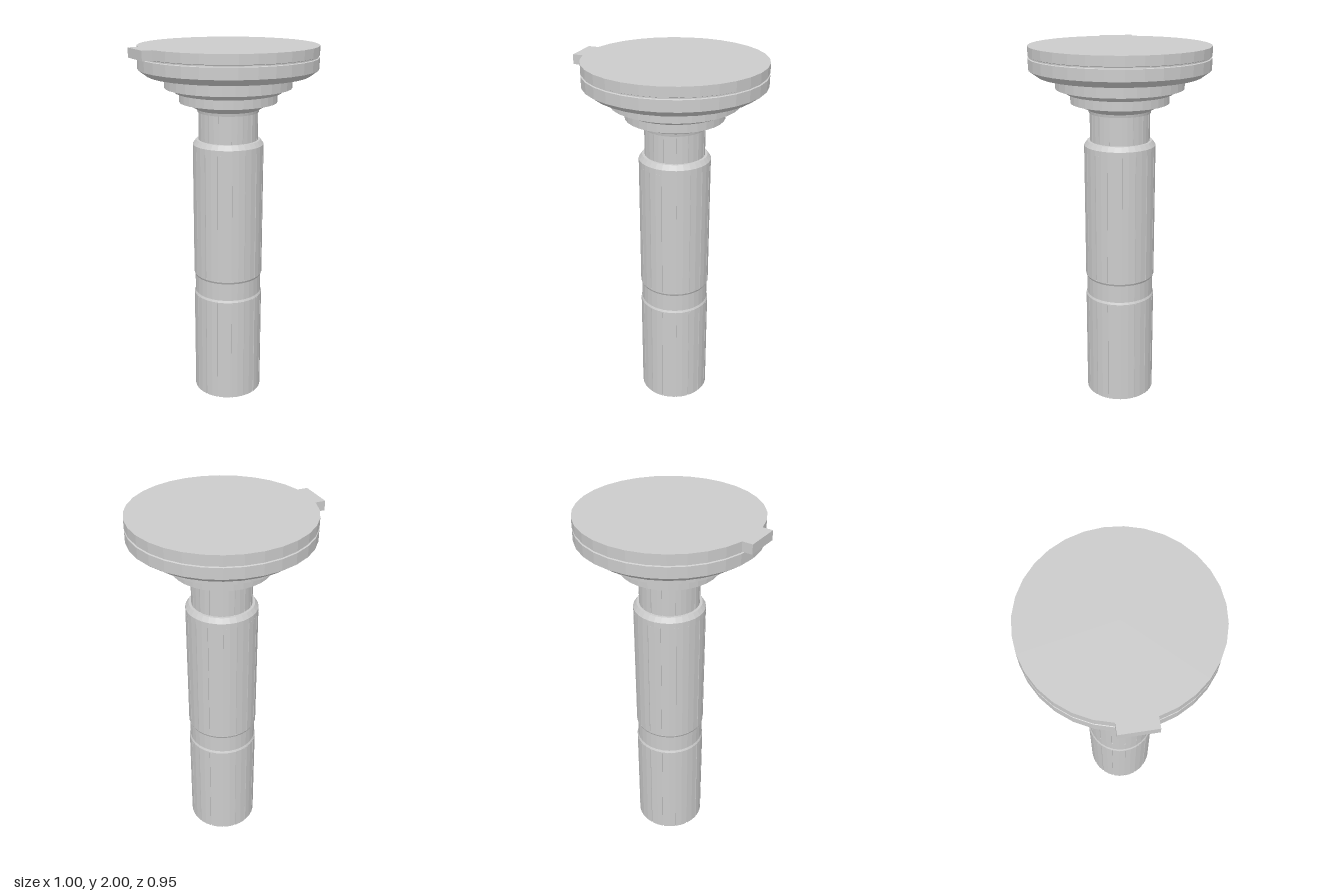
import * as THREE from 'three';

const SIDES = 32;
const AXIS_X = 0.023;
const grey = new THREE.MeshStandardMaterial({ color: 0xcccccc, flatShading: true });

function addMesh(group, name, geometry) {
  const mesh = new THREE.Mesh(geometry, grey);
  mesh.name = name;
  group.add(mesh);
  return mesh;
}

// Solid of revolution from [radius, height] pairs, bottom to top
function turned(profile) {
  return new THREE.LatheGeometry(profile.map(([r, y]) => new THREE.Vector2(r, y)), SIDES);
}

// Upright cylinder with a hairline groove at every second corner
function fluted(radius, bottom, top) {
  const shape = [];
  const half = 0.003 / radius;
  const depth = 0.005;
  const put = (r, a) => shape.push(new THREE.Vector2(r * Math.cos(a), r * Math.sin(a)));
  for (let i = 0; i < SIDES; i++) {
    const a = (i / SIDES) * Math.PI * 2;
    if (i % 2) {
      put(radius, a);
    } else {
      put(radius, a - half);
      put(radius - depth, a - half);
      put(radius - depth, a + half);
      put(radius, a + half);
    }
  }
  const geometry = new THREE.ExtrudeGeometry(new THREE.Shape(shape), {
    depth: top - bottom, bevelEnabled: false,
  });
  return geometry.rotateX(-Math.PI / 2).translate(0, bottom, 0);
}

export function createModel() {
  const model = new THREE.Group();
  model.name = 'steppedPin';
  const body = new THREE.Group();
  body.name = 'turnedBody';
  body.position.x = AXIS_X;
  model.add(body);

  // Grooved shaft sections and neck
  addMesh(body, 'lowerShaft', fluted(0.193, 0, 0.6));
  addMesh(body, 'upperShaft', fluted(0.193, 0.735, 1.445));
  addMesh(body, 'neck', fluted(0.161, 1.5, 1.65));

  // Slightly recessed plain band between the shaft sections
  addMesh(body, 'waistBand', turned([
    [0, 0.6], [0.193, 0.6], [0.193, 0.606], [0.187, 0.618],
    [0.187, 0.718], [0.193, 0.73], [0.193, 0.735], [0, 0.735],
  ]));

  // Chamfered shoulder on top of the shaft
  addMesh(body, 'shoulder', turned([
    [0, 1.445], [0.193, 1.445], [0.193, 1.475], [0.175, 1.5], [0, 1.5],
  ]));

  // Stepped flare under the head
  addMesh(body, 'steppedFlare', turned([
    [0, 1.65], [0.165, 1.65], [0.168, 1.665], [0.205, 1.685], [0.222, 1.695],
    [0.222, 1.703], [0.262, 1.703], [0.262, 1.75], [0.285, 1.755],
    [0.31, 1.775], [0.34, 1.78], [0.34, 1.835], [0.325, 1.835],
    [0.325, 1.848], [0, 1.848],
  ]));

  // Broad head with a chamfered underside and a thin groove in its rim
  addMesh(body, 'head', turned([
    [0, 1.847], [0.432, 1.847], [0.477, 1.88], [0.477, 1.938], [0.47, 1.941],
    [0.47, 1.947], [0.477, 1.95], [0.477, 2], [0, 2],
  ]));

  // Locating tab on the rim
  const tab = addMesh(model, 'locatingTab', new THREE.BoxGeometry(0.08, 0.05, 0.186));
  tab.position.set(-0.46, 1.975, 0);

  return model;
}
